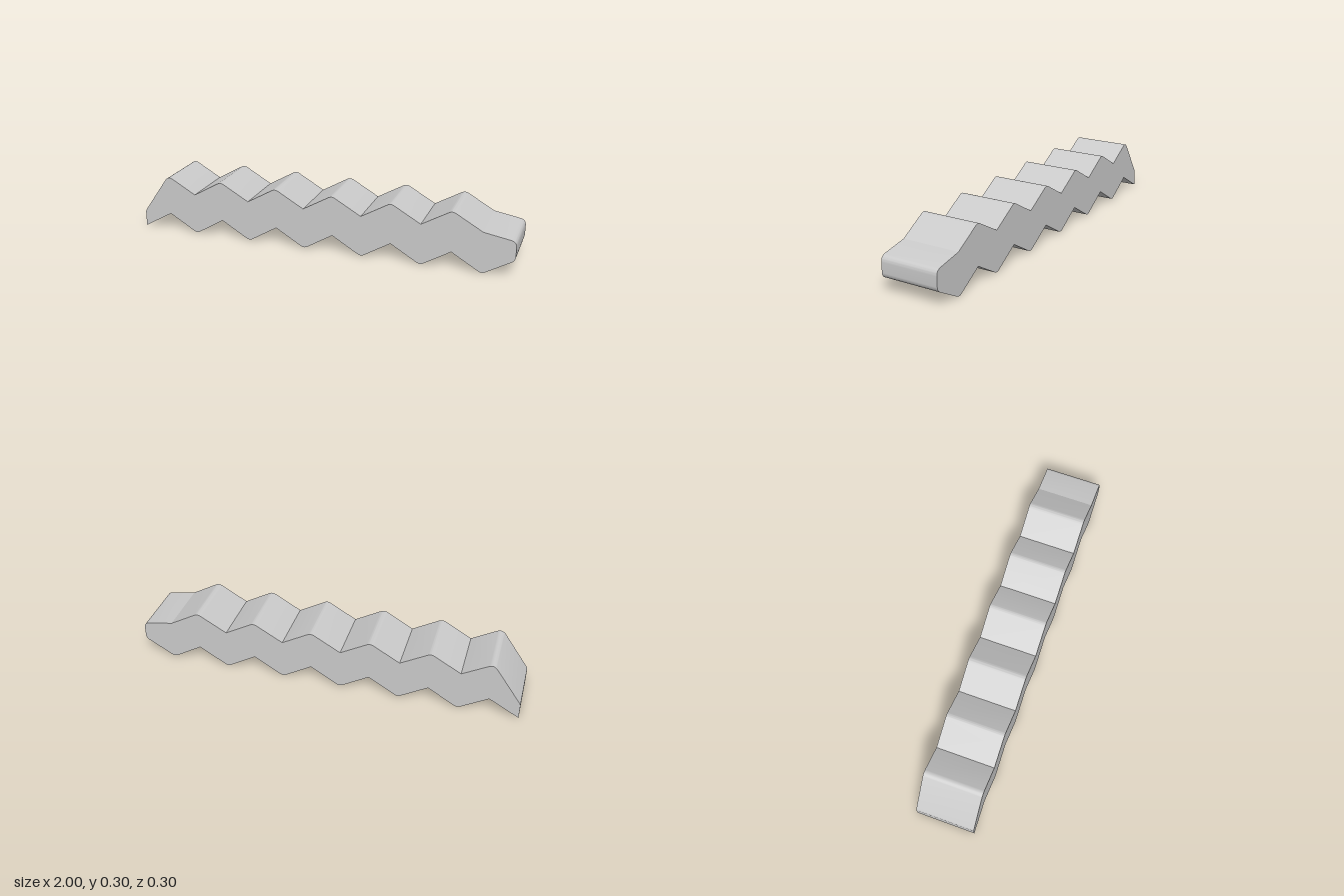
import * as THREE from 'three';
import { toCreasedNormals } from 'three/addons/utils/BufferGeometryUtils.js';

const TEETH = 6, PITCH = 0.307, DEPTH = 0.304, RADIUS = 0.035;

// Closed outline from [x, y, rounded] corners, with a fixed fillet radius
function roundedShape(corners) {
  const shape = new THREE.Shape();
  const pts = corners.map(([x, y]) => new THREE.Vector2(x, y));
  pts.forEach((p, i) => {
    const a = pts[(i + pts.length - 1) % pts.length].clone().sub(p).normalize();
    const b = pts[(i + 1) % pts.length].clone().sub(p).normalize();
    const turn = Math.PI - Math.acos(a.dot(b));
    const t = corners[i][2] ? RADIUS * Math.tan(turn / 2) : 0;
    const start = p.clone().addScaledVector(a, t);
    const end = p.clone().addScaledVector(b, t);
    if (i === 0) shape.moveTo(start.x, start.y);
    else shape.lineTo(start.x, start.y);
    if (t > 0) shape.quadraticCurveTo(p.x, p.y, end.x, end.y);
  });
  shape.closePath();
  return shape;
}

export function createModel() {
  const group = new THREE.Group();
  group.name = 'zigzagBar';
  const corners = [[-1, 0, false]];

  // Underside: sharp notches and rounded feet, left to right
  for (let i = 0; i < TEETH; i++) {
    const x = -1 + i * PITCH;
    corners.push([x + PITCH / 2, 0.087, false], [x + PITCH, -0.005, true]);
  }

  // Blunt right end
  corners.push([1, 0.086, true], [1, 0.184, true]);

  // Top: sharp valleys and rounded ridges, right to left
  for (let i = TEETH - 1; i >= 0; i--) {
    const x = -1 + i * PITCH;
    corners.push([x + PITCH - 0.003, 0.212, false], [x + PITCH / 2 - 0.003, 0.3, true]);
  }

  // Left end, steep slope down to a short wall
  corners.push([-1, 0.085, true]);

  const bar = new THREE.ExtrudeGeometry(roundedShape(corners), {
    depth: DEPTH, bevelEnabled: false, curveSegments: 8,
  });
  bar.translate(0, 0, -DEPTH / 2);

  const mesh = new THREE.Mesh(
    toCreasedNormals(bar, 0.3),
    new THREE.MeshStandardMaterial({ color: 0xcccccc }),
  );
  mesh.name = 'corrugatedBar';
  group.add(mesh);
  return group;
}
